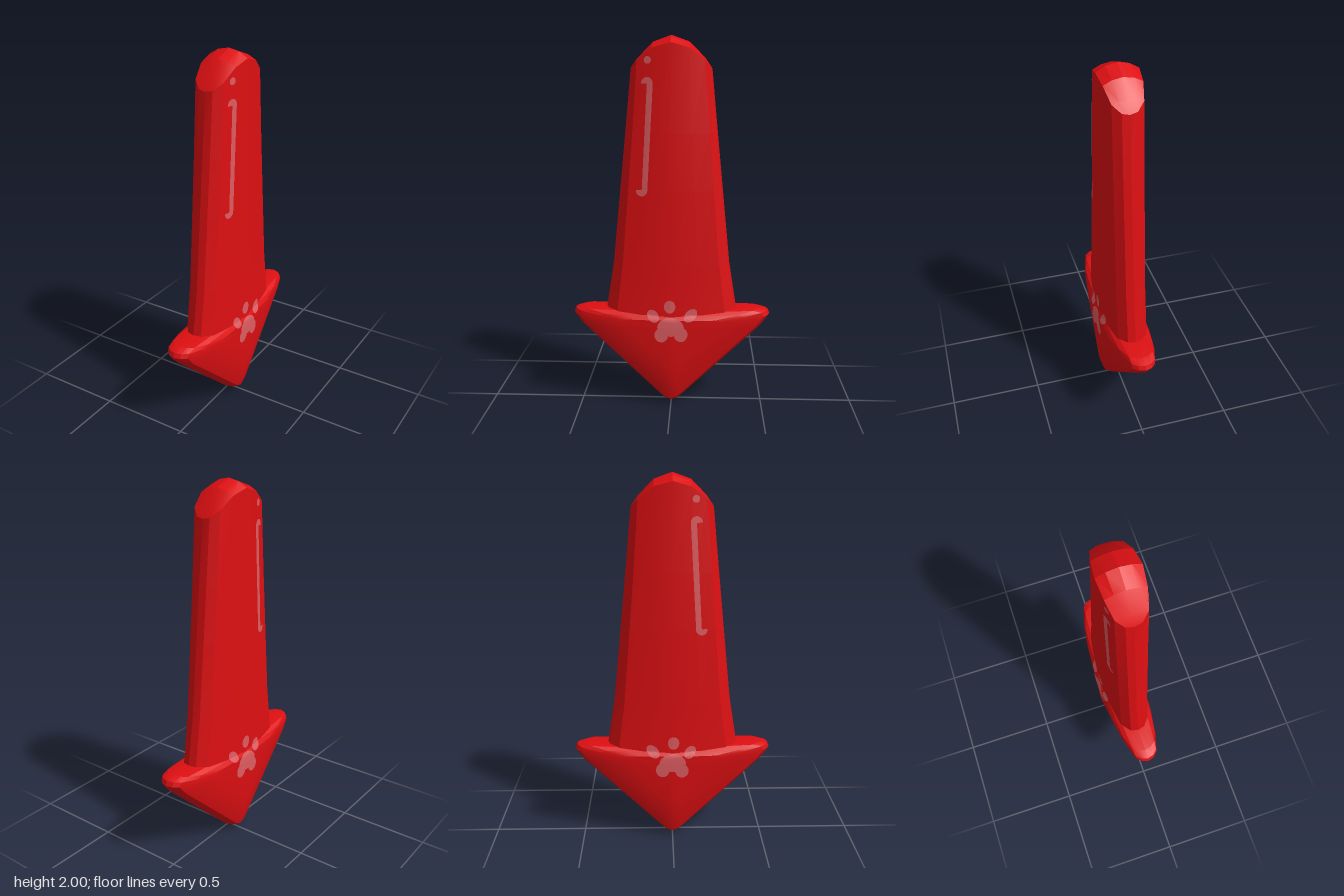
import * as THREE from 'three';
import { toCreasedNormals } from 'three/addons/utils/BufferGeometryUtils.js';

// Piecewise-linear lookup in a short list of [key, value] with rising keys
function lerpTable(table, t) {
  for (let i = 1; i < table.length; i++) {
    const [a, va] = table[i - 1], [b, vb] = table[i];
    if (t <= b) return va + (vb - va) * Math.max(0, (t - a) / (b - a));
  }
  return table[table.length - 1][1];
}

// Skin a stack of closed rings of [x, y, z] points
function loft(rings) {
  const n = rings[0].length, index = [];
  for (let r = 0; r < rings.length - 1; r++) {
    for (let i = 0; i < n; i++) {
      const j = (i + 1) % n;
      const a = r * n + i, b = r * n + j, c = b + n, d = a + n;
      index.push(a, b, c, a, c, d);
    }
  }
  const geo = new THREE.BufferGeometry();
  geo.setAttribute('position', new THREE.Float32BufferAttribute(rings.flat(2), 3));
  geo.setIndex(index);
  return toCreasedNormals(geo, 0.3);
}

// Shaft: flattened oval section, as [depth fraction, half thickness]
const SECTION = [[0, 0.11], [0.45, 0.1], [0.82, 0.08], [0.97, 0.04], [1, 0]];
const DEPTH = [[0.35, 0.3], [0.45, 0.365], [0.55, 0.355], [0.8, 0.315], [1.2, 0.275], [1.5, 0.245], [1.83, 0.213]];
const WIDTH = [[0.35, 1.13], [0.45, 1.08], [0.55, 1.02], [0.8, 1], [1.83, 0.98]];

function shaftX(z, y) {
  return lerpTable(SECTION, Math.abs(z) / lerpTable(DEPTH, y)) * lerpTable(WIDTH, y);
}

function shaftGeometry() {
  const half = [...SECTION].reverse().concat(SECTION.slice(1).map(([f, x]) => [-f, x]));
  const loop = half.concat(half.slice(1, -1).reverse().map(([f, x]) => [f, -x]));
  const rings = DEPTH.slice(0, -1).map(([y, d]) =>
    loop.map(([f, x]) => [x * lerpTable(WIDTH, y), y, f * d]));
  // Sloping rim, then a domed cap closing along the centre line
  for (const s of [1, 0.55, 0]) {
    rings.push(loop.map(([f, x]) => [
      x * 0.98 * s,
      1.96 - 0.13 * f * f + 0.04 * (1 - f * f) * (1 - s * s),
      f * 0.213,
    ]));
  }
  return loft(rings);
}

// Arrowhead: half outline as [z, y], swelling from its rim to the middle
const OUTLINE = [[0, 0], [0.035, 0.014], [0.07, 0.045], [0.5, 0.455], [0.54, 0.51],
  [0.53, 0.535], [0.48, 0.548], [0.34, 0.545], [0, 0.545]];
const SWELL = [[0, 0.125], [0.5, 0.123], [0.75, 0.11], [0.93, 0.085], [0.98, 0.05], [1, 0]];
const CENTRE_Y = 0.45;
const taper = (z) => 1 - 0.3 * (z / 0.54) ** 2;

function headX(z, y) {
  const pz = Math.abs(z), py = y - CENTRE_Y;
  for (let i = 1; i < OUTLINE.length; i++) {
    const [az, ay] = OUTLINE[i - 1], [bz, by] = OUTLINE[i];
    const ya = ay - CENTRE_Y, yb = by - CENTRE_Y, det = az * yb - bz * ya;
    const u = (pz * yb - bz * py) / det, v = (az * py - pz * ya) / det;
    if (u >= -1e-6 && v >= -1e-6) return u + v > 1 ? 0 : lerpTable(SWELL, u + v) * taper(z);
  }
  return 0;
}

function headGeometry() {
  const back = OUTLINE.map(([z, y]) => [-z, y]);
  const loop = back.concat(OUTLINE.slice(1, -1).reverse());
  const levels = SWELL.map(([s, x]) => [s, -x])
    .concat(SWELL.slice(0, -1).reverse());
  return loft(levels.map(([s, x]) => loop.map(([z, y]) =>
    [x * taper(z * s), CENTRE_Y + (y - CENTRE_Y) * s, z * s])));
}

// Thin rounded patch hugging the surface on one side (+1 or -1)
function patch({ z, y, rz, ry, tilt = 0, stretch = 0, lean = 0 }, side) {
  const geo = new THREE.RingGeometry(0.001, 1, 24, 4);
  const pos = geo.attributes.position;
  const c = Math.cos(tilt), s = Math.sin(tilt);
  for (let i = 0; i < pos.count; i++) {
    const u = pos.getX(i) * rz;
    const v = pos.getY(i) * ry + (pos.getY(i) >= 0 ? stretch : -stretch);
    const pz = z + u * c - v * s + v * lean, py = y + u * s + v * c;
    pos.setXYZ(i, side * (Math.max(shaftX(pz, py), headX(pz, py)) + 0.004), py, pz);
  }
  geo.computeVertexNormals();
  return geo;
}

export function createModel() {
  const red = new THREE.MeshStandardMaterial({ color: 0xdd0f12 });
  red.name = 'red';
  const pink = new THREE.MeshStandardMaterial({ color: 0xdd5c60 });
  pink.name = 'palePink';
  pink.side = THREE.DoubleSide;

  const model = new THREE.Group();
  model.name = 'arrow';
  const add = (parent, name, geo, mat) => {
    const mesh = new THREE.Mesh(geo, mat);
    mesh.name = name;
    parent.add(mesh);
  };
  add(model, 'shaft', shaftGeometry(), red);
  add(model, 'arrowHead', headGeometry(), red);

  // Painted marks, the same on both broad sides
  const marks = [
    ['highlightStripe', { z: 0.137, y: 1.48, rz: 0.031, ry: 0.033, stretch: 0.275, lean: -0.055 }],
    ['highlightDot', { z: 0.118, y: 1.873, rz: 0.019, ry: 0.019 }],
    ['middleToe', { z: 0.005, y: 0.572, rz: 0.031, ry: 0.036 }],
    ['frontToe', { z: 0.095, y: 0.52, rz: 0.028, ry: 0.038, tilt: -0.7 }],
    ['backToe', { z: -0.108, y: 0.525, rz: 0.028, ry: 0.042, tilt: 0.8 }],
    ['pawPad', { z: 0, y: 0.46, rz: 0.072, ry: 0.052 }],
    ['padFrontLobe', { z: 0.05, y: 0.415, rz: 0.037, ry: 0.04 }],
    ['padBackLobe', { z: -0.055, y: 0.42, rz: 0.037, ry: 0.042 }],
  ];
  for (const side of [1, -1]) {
    const group = new THREE.Group();
    group.name = side > 0 ? 'leftMarks' : 'rightMarks';
    for (const [name, spec] of marks) add(group, name, patch(spec, side), pink);
    model.add(group);
  }
  return model;
}
